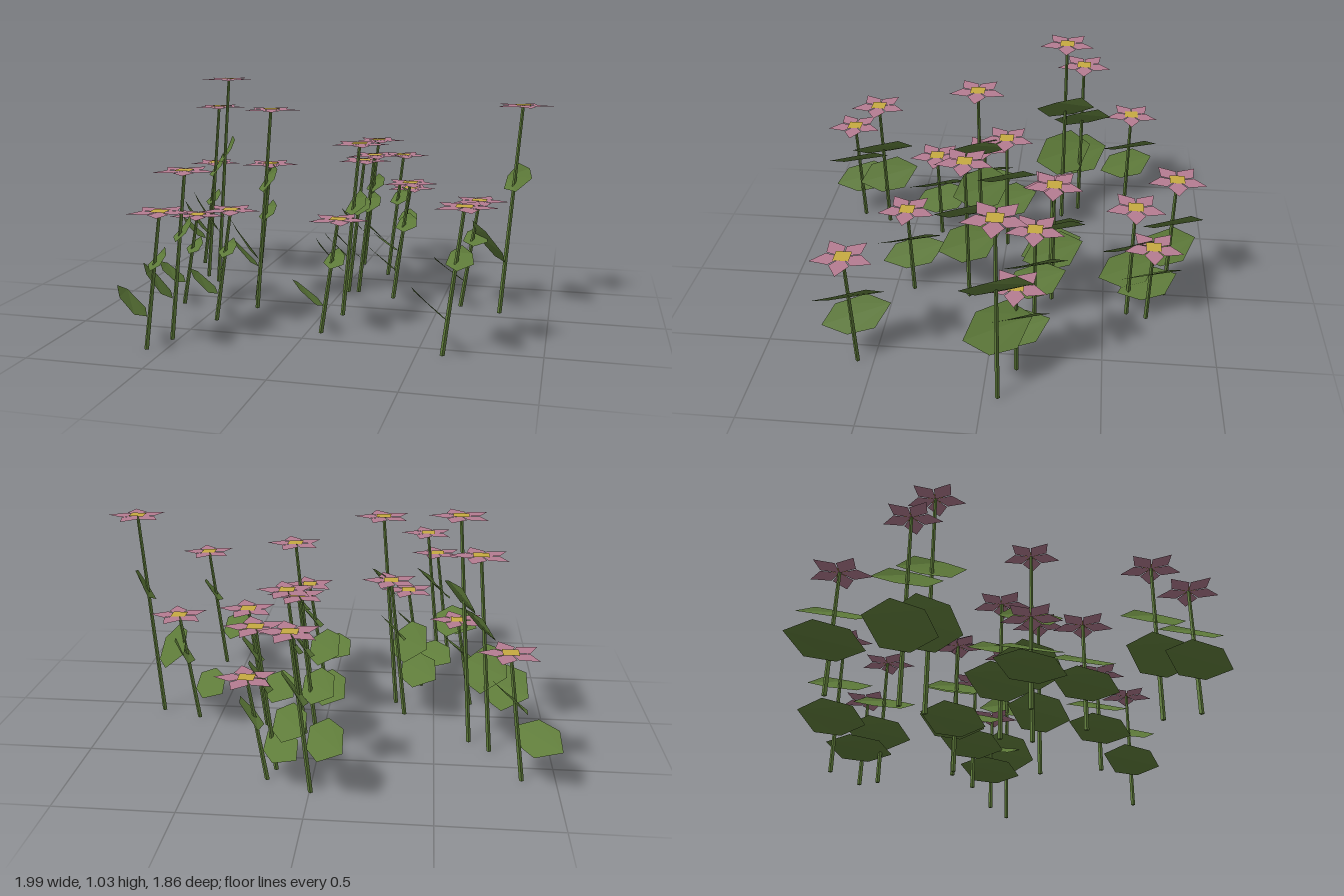
import * as THREE from 'three';

const make = (name, color) => new THREE.MeshStandardMaterial({ color, name, flatShading: true, side: THREE.DoubleSide });

// Flat polygon from corner points, as a triangle fan
function fan(points) {
  const pos = [];
  for (let i = 1; i < points.length - 1; i++) pos.push(...points[0], ...points[i], ...points[i + 1]);
  const g = new THREE.BufferGeometry();
  g.setAttribute('position', new THREE.Float32BufferAttribute(pos, 3));
  g.computeVertexNormals();
  return g;
}

// Each plant is one unit tall, rooted at the origin, and leans towards +x
const LEAN = 0.075;

function stemGeometry() {
  const g = new THREE.CylinderGeometry(0.007, 0.01, 1, 4).translate(0, 0.5, 0);
  const p = g.attributes.position;
  for (let i = 0; i < p.count; i++) p.setX(i, p.getX(i) + LEAN * p.getY(i));
  return g;
}

// Petal pointing along +x, lying flat
const petalGeometry = () => fan([[0, 0, 0], [0.063, 0, 0.042], [0.135, 0, 0], [0.063, 0, -0.042]]);

// Tilted six-cornered leaves
const lowerLeafGeometry = () => fan([
  [-0.14, 0.36, -0.135], [-0.135, 0.44, -0.03], [-0.065, 0.42, 0.095],
  [0.017, 0.33, 0.14], [0.02, 0.26, 0.03], [-0.035, 0.26, -0.08],
]);
const upperLeafGeometry = () => fan([
  [0.008, 0.645, -0.145], [0, 0.6, -0.04], [0.06, 0.61, 0.08],
  [0.13, 0.685, 0.137], [0.115, 0.715, 0.04], [0.06, 0.72, -0.08],
]);

// Blossom x, blossom z, height
const PLANTS = [
  [0.07, -0.79, 0.685], [0.26, -0.70, 0.45], [0.235, -0.61, 0.635], [-0.785, -0.61, 0.56],
  [-0.665, -0.355, 0.885], [-0.58, -0.27, 1.03], [0.155, -0.255, 0.68], [0.107, -0.245, 0.655],
  [0.34, -0.185, 0.565], [0.67, -0.13, 0.505], [0.855, -0.065, 0.95], [-0.287, -0.005, 0.66],
  [-0.243, 0.125, 0.925], [-0.6, 0.138, 0.43], [0.167, 0.138, 0.785], [-0.362, 0.347, 0.505],
  [0.135, 0.41, 0.5], [0.678, 0.572, 0.61], [-0.45, 0.643, 0.72], [-0.503, 0.785, 0.575],
];

export function createModel() {
  const green = make('leafGreen', 0x5f7c3a);
  const pink = make('petalPink', 0xb57d92);
  const yellow = make('centreYellow', 0xc7ab41);

  const stem = stemGeometry();
  const lowerLeaf = lowerLeafGeometry();
  const upperLeaf = upperLeafGeometry();
  const petal = petalGeometry();
  const centre = new THREE.PlaneGeometry(0.066, 0.066).rotateX(-Math.PI / 2);

  const model = new THREE.Group();
  model.name = 'flowerPatch';
  const add = (parent, name, geometry, material) => {
    const mesh = new THREE.Mesh(geometry, material);
    mesh.name = name;
    parent.add(mesh);
    return mesh;
  };

  for (const [x, z, height] of PLANTS) {
    const plant = new THREE.Group();
    plant.name = 'flower';
    plant.position.set(x - LEAN, 0, z);

    // Stem and leaves stretch with the height
    add(plant, 'stem', stem, green).scale.y = height;
    add(plant, 'lowerLeaf', lowerLeaf, green).scale.y = height;
    add(plant, 'upperLeaf', upperLeaf, green).scale.y = height;

    // Five flat petals around a square centre
    const blossom = new THREE.Group();
    blossom.name = 'blossom';
    blossom.position.set(LEAN, height, 0);
    for (let i = 0; i < 5; i++) add(blossom, 'petal', petal, pink).rotation.y = (i * Math.PI * 2) / 5;
    add(blossom, 'centre', centre, yellow).position.y = 0.004;
    plant.add(blossom);
    model.add(plant);
  }
  return model;
}
